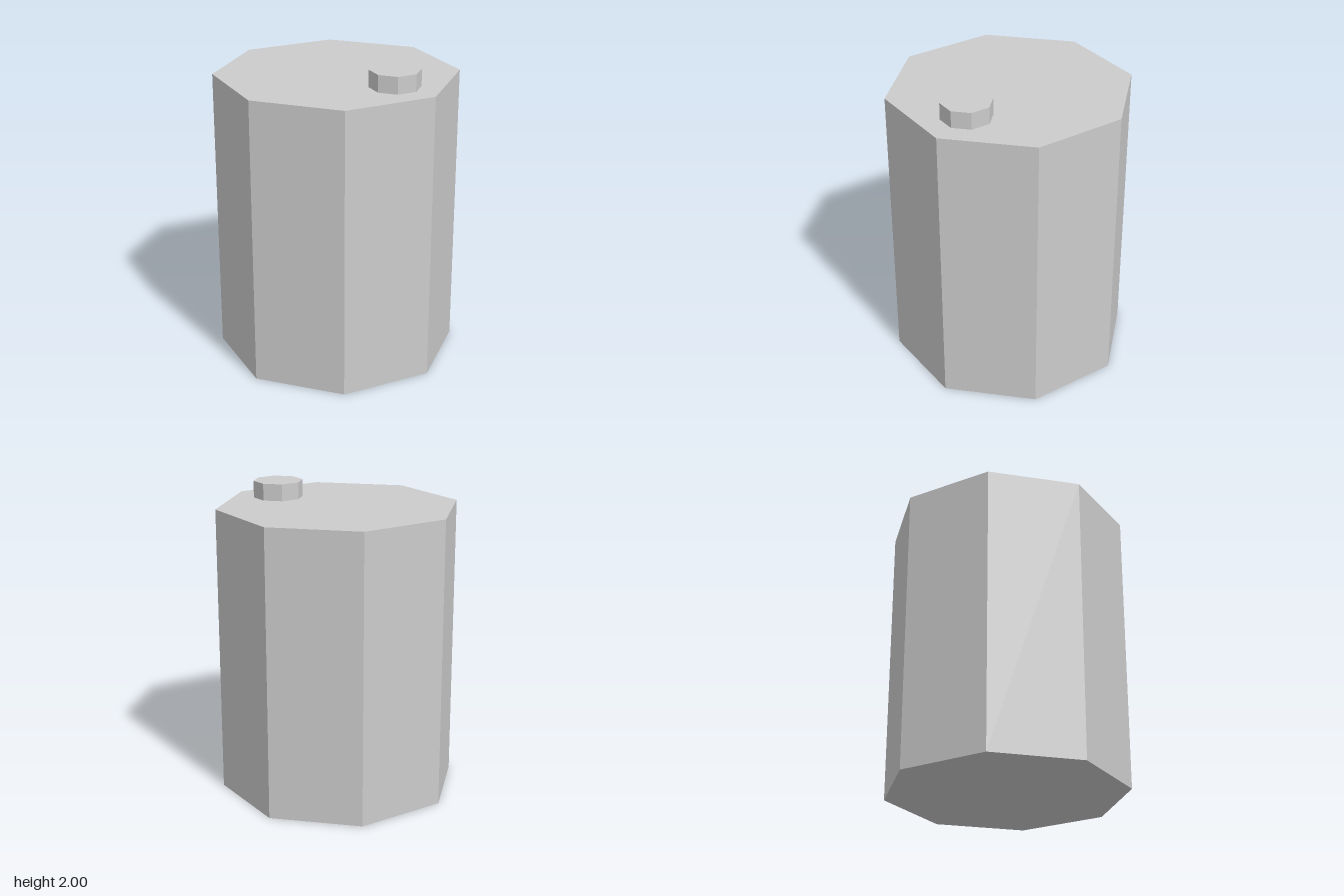
import * as THREE from 'three';

const SIDES = 8;

export function createModel() {
  const group = new THREE.Group();
  const material = new THREE.MeshStandardMaterial({ color: 0xcccccc, flatShading: true });

  // Upright octagonal prism standing on height y
  function addPrism(name, radius, height, x, y) {
    const mesh = new THREE.Mesh(new THREE.CylinderGeometry(radius, radius, height, SIDES), material);
    mesh.name = name;
    mesh.position.set(x, y + height / 2, 0);
    group.add(mesh);
  }

  const bodyHeight = 1.89;
  addPrism('drumBody', 0.787, bodyHeight, 0, 0);
  // Filler cap near the left rim
  addPrism('fillerCap', 0.163, 2 - bodyHeight, 0.476, bodyHeight);

  return group;
}
